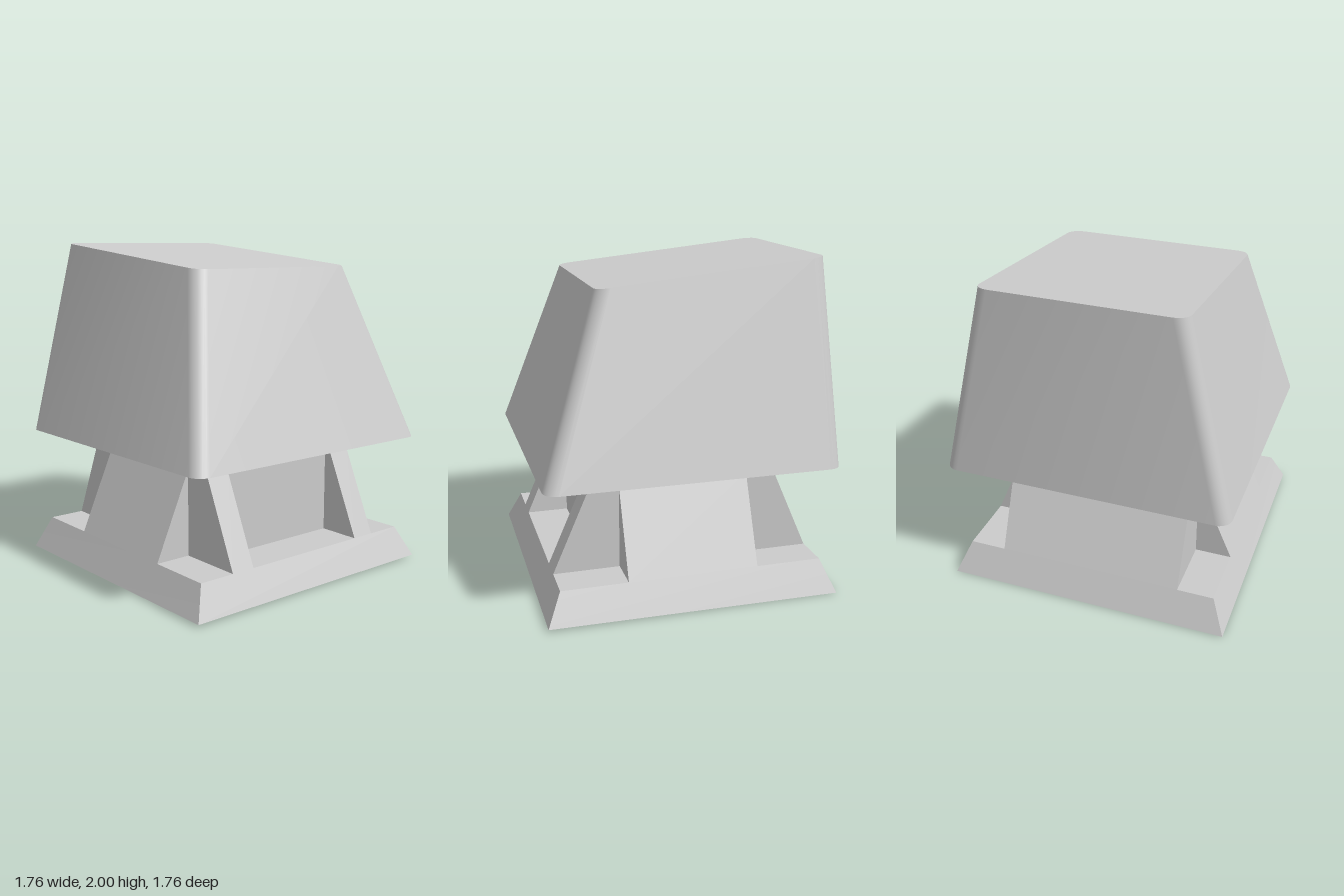
import * as THREE from 'three';
import { toCreasedNormals } from 'three/addons/utils/BufferGeometryUtils.js';

// Skin through equal-length rings (counter-clockwise from above), closed at both ends
function loft(rings, crease) {
  const n = rings[0].length, pos = rings.flat(2), idx = [];
  for (let r = 0; r < rings.length - 1; r++) {
    for (let i = 0; i < n; i++) {
      const a = r * n + i, b = r * n + (i + 1) % n;
      idx.push(a, b, b + n, a, b + n, a + n);
    }
  }
  const last = (rings.length - 1) * n;
  for (let i = 1; i < n - 1; i++) {
    idx.push(0, i + 1, i);
    idx.push(last, last + i, last + i + 1);
  }
  const g = new THREE.BufferGeometry();
  g.setAttribute('position', new THREE.Float32BufferAttribute(pos, 3));
  g.setIndex(idx);
  return toCreasedNormals(g, crease);
}

// Four-cornered ring; yAt gives the height for a z
function rect(x0, x1, z0, z1, yAt) {
  return [[x1, z1], [x1, z0], [x0, z0], [x0, z1]].map(([x, z]) => [x, yAt(z), z]);
}

// Ring with rounded corners
function roundRect(hx, z0, z1, r, yAt, seg = 6) {
  const corners = [[hx - r, z0 + r], [-hx + r, z0 + r], [-hx + r, z1 - r], [hx - r, z1 - r]];
  const ring = [];
  corners.forEach(([cx, cz], k) => {
    for (let i = 0; i <= seg; i++) {
      const t = (k + i / seg) * Math.PI / 2;
      const z = cz - r * Math.sin(t);
      ring.push([cx + r * Math.cos(t), yAt(z), z]);
    }
  });
  return ring;
}

export function createModel() {
  const model = new THREE.Group();
  const grey = new THREE.MeshStandardMaterial({ color: 0xcccccc });
  grey.name = 'light grey plastic';

  const add = (name, geometry, parent = model) => {
    const mesh = new THREE.Mesh(geometry, grey);
    mesh.name = name;
    parent.add(mesh);
    return mesh;
  };

  // Housing: half-widths of the sloping sides at three heights
  const foot = 0.88, ledge = 0.795, top = 0.57;
  const yLedge = () => 0.2, yTop = () => 0.715;
  const block = (lower, upper) =>
    loft([rect(...lower, yLedge), rect(...upper, yTop)], 0.2);
  const housing = new THREE.Group();
  housing.name = 'housing';
  model.add(housing);

  // Bottom plate, its underside very slightly tilted
  add('basePlate', loft([
    rect(-foot, foot, -foot, foot, z => 0.0075 + z * 0.0085),
    rect(-ledge, ledge, -ledge, ledge, yLedge),
  ], 0.2), housing);

  // Core with the flat back wall of the front pocket
  const pocket = 0.53;
  add('housingCore', block([-top, top, -ledge, pocket], [-top, top, -top, pocket]), housing);

  // Front ribs beside the pocket, and side wings between the corner notches
  for (const [side, s] of [['left', 1], ['right', -1]]) {
    const span = (a, b) => (s > 0 ? [a, b] : [-b, -a]);
    add(side + 'FrontRib', block(
      [...span(0.418, top), pocket, ledge],
      [...span(0.418, top), pocket, top]), housing);
    add(side + 'Wing', block(
      [...span(top - 0.05, ledge), -0.395, 0.395],
      [...span(top - 0.05, top), -0.395, 0.395]), housing);
  }

  // Stem reaching up into the cap
  const stem = add('stem', new THREE.BoxGeometry(0.48, 1.14, 0.51));
  stem.position.y = 0.7 + 0.57;

  // Hollow cap with a sloping top
  const wall = 0.06, front = 0.515, back = -0.85;
  const rim = () => 0.8;
  const slope = z => 1.86 + (front - z) * 0.14 / (front - back);
  add('cap', loft([
    roundRect(0.6 - wall, back + wall, front - wall, 0.04, z => slope(z) - 0.08),
    roundRect(foot - wall, -foot + wall, foot - wall, 0.04, rim),
    roundRect(foot, -foot, foot, 0.08, rim),
    roundRect(0.597, back, front, 0.08, slope),
  ], 0.6));

  return model;
}
